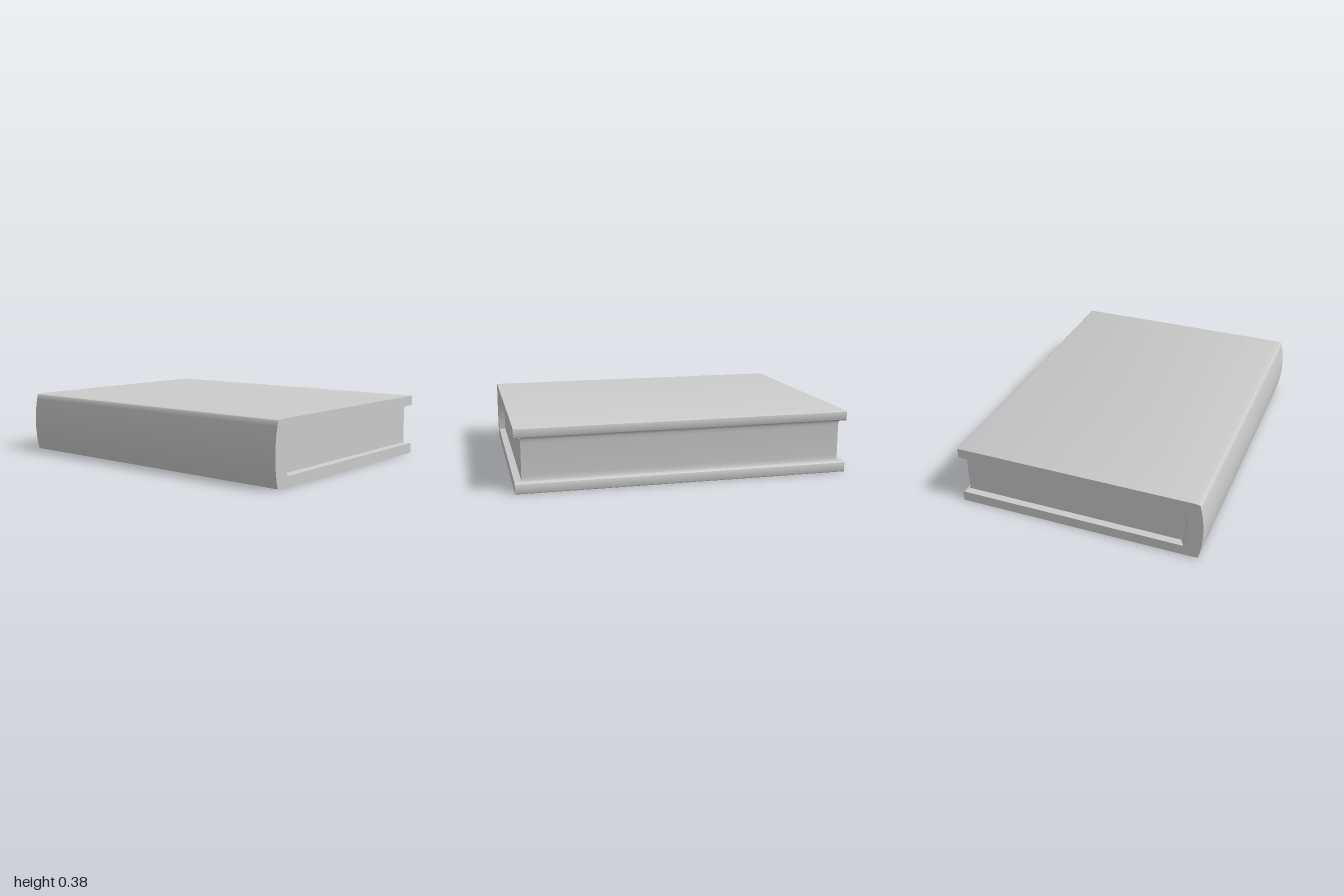
import * as THREE from 'three';
import { toCreasedNormals } from 'three/addons/utils/BufferGeometryUtils.js';

const material = new THREE.MeshStandardMaterial({ color: 0xcccccc, side: THREE.DoubleSide });

// Extrudes a shape along z, centred on z = 0, keeping sharp edges
function extrude(name, shape, depth) {
  const geometry = new THREE.ExtrudeGeometry(shape, { depth, bevelEnabled: false, curveSegments: 12 });
  geometry.translate(0, 0, -depth / 2);
  const mesh = new THREE.Mesh(toCreasedNormals(geometry, 0.6), material);
  mesh.name = name;
  return mesh;
}

// Traces the hollow of the cover: top edge, rounded back, bottom edge
function traceHollow(path, frontX, backX, low, high) {
  path.moveTo(frontX, high);
  path.lineTo(backX, high);
  path.quadraticCurveTo(backX - 0.044, (low + high) / 2, backX, low);
  path.lineTo(frontX, low);
  return path;
}

// Sloped band closing the gap between the cover and the page block
function createBand(outer, inner, zOuter, zInner) {
  const positions = [];
  const indices = [];
  outer.forEach((p, i) => {
    positions.push(p.x, p.y, zOuter, inner[i].x, inner[i].y, zInner);
    if (i > 0) {
      const a = 2 * (i - 1);
      if (zOuter > 0) indices.push(a, a + 1, a + 2, a + 1, a + 3, a + 2);
      else indices.push(a, a + 2, a + 1, a + 1, a + 2, a + 3);
    }
  });
  const geometry = new THREE.BufferGeometry();
  geometry.setAttribute('position', new THREE.Float32BufferAttribute(positions, 3));
  geometry.setIndex(indices);
  return new THREE.Mesh(toCreasedNormals(geometry, 0.6), material);
}

export function createModel() {
  const group = new THREE.Group();

  // Cover: two boards joined by a rounded spine, one C-shaped section
  const cover = new THREE.Shape();
  traceHollow(cover, 0.735, -0.648, 0.065, 0.318);
  cover.quadraticCurveTo(0.757, 0.065, 0.757, 0.054);
  cover.lineTo(0.757, 0.006);
  cover.quadraticCurveTo(0.757, 0, 0.75, 0);
  cover.lineTo(-0.68, 0.002);
  cover.quadraticCurveTo(-0.732, 0.003, -0.737, 0.009);
  cover.quadraticCurveTo(-0.783, 0.19, -0.737, 0.374);
  cover.quadraticCurveTo(-0.734, 0.38, -0.68, 0.38);
  cover.lineTo(0.75, 0.38);
  cover.quadraticCurveTo(0.757, 0.38, 0.757, 0.374);
  cover.lineTo(0.757, 0.329);
  cover.quadraticCurveTo(0.757, 0.318, 0.735, 0.318);
  group.add(extrude('cover', cover, 2));

  // Page block with a rounded back and a slightly hollow fore edge
  const pages = new THREE.Shape();
  traceHollow(pages, 0.728, -0.624, 0.07, 0.313);
  pages.lineTo(0.735, 0.064);
  pages.quadraticCurveTo(0.729, 0.075, 0.728, 0.1);
  pages.lineTo(0.728, 0.283);
  pages.quadraticCurveTo(0.729, 0.308, 0.735, 0.319);
  group.add(extrude('pageBlock', pages, 1.92));

  // Bands at the head and tail of the pages
  const outer = traceHollow(new THREE.Path(), 0.728, -0.648, 0.065, 0.318).getPoints(12);
  const inner = traceHollow(new THREE.Path(), 0.728, -0.624, 0.07, 0.313).getPoints(12);
  for (const side of [1, -1]) {
    const band = createBand(outer, inner, side, side * 0.96);
    band.name = side > 0 ? 'frontBand' : 'backBand';
    group.add(band);
  }

  return group;
}
